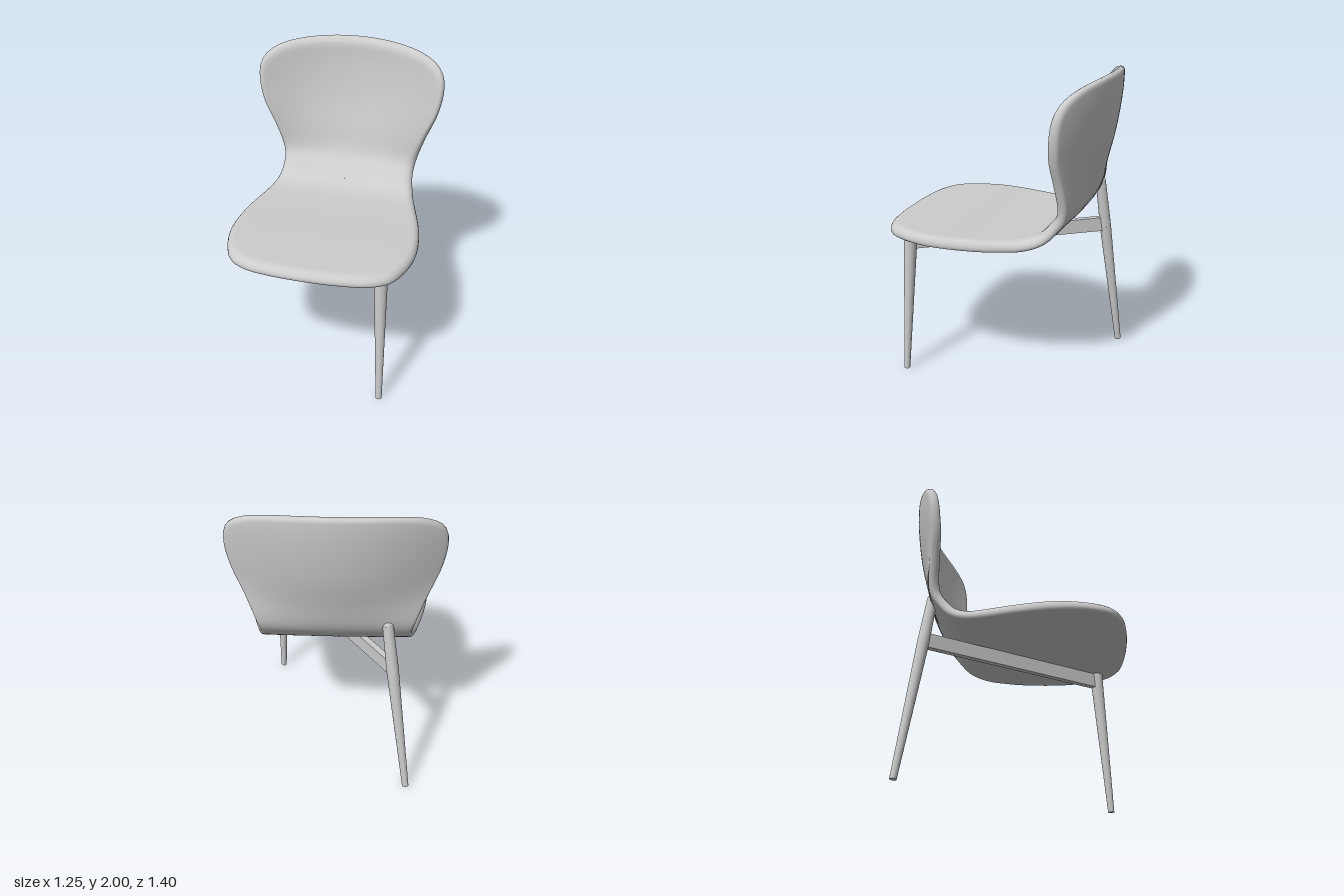
import * as THREE from 'three';

const V3 = (x, y, z) => new THREE.Vector3(x, y, z);

// Centre line of the bent shell, from the seat front to the top of the back
const profile = new THREE.CatmullRomCurve3([
  [0.7, 1], [0.3, 1], [-0.15, 1], [-0.28, 1.012], [-0.38, 1.05], [-0.455, 1.12], [-0.522, 1.2],
  [-0.58, 1.4], [-0.63, 1.6], [-0.664, 1.85], [-0.669, 2],
].map(([z, y]) => V3(0, y, z)));

// Half outline of the unrolled shell: half width, distance along the centre line
const half = [
  [0.2, 0.008], [0.38, 0.038], [0.49, 0.1], [0.55, 0.2], [0.595, 0.36], [0.6, 0.5], [0.575, 0.7],
  [0.525, 0.9], [0.475, 1.08], [0.457, 1.2], [0.466, 1.3], [0.525, 1.5], [0.6, 1.71],
  [0.623, 1.87], [0.607, 1.96], [0.57, 2.01], [0.48, 2.06], [0.32, 2.095],
];

// Places a point of the unrolled shell in space; n is the height above the mid surface
function bend(x, v, n) {
  const t = THREE.MathUtils.clamp(v / profile.getLength(), 0, 1);
  const p = profile.getPointAt(t);
  const d = profile.getTangentAt(t);
  const hollow = 0.44 * THREE.MathUtils.smoothstep(p.y, 0.95, 1.6);
  return [x, p.y - d.z * n, p.z + d.y * n + hollow * x * x];
}

function shellGeometry() {
  const end = profile.getLength();
  const outline = new THREE.CatmullRomCurve3([
    V3(0, 0, 0),
    ...half.map(([x, v]) => V3(x, v, 0)),
    V3(0, end, 0),
    ...half.slice().reverse().map(([x, v]) => V3(-x, v, 0)),
  ], true).getSpacedPoints(144).slice(0, 144);

  // Rings run from the middle of the upper face, round the rim, to the middle underneath
  const rings = [];
  const inner = 22;
  for (let i = 0; i <= inner; i++) rings.push([Math.max(i / inner, 0.002), 0.07, 0.035]);
  rings.push([1, 0.045, 0.033], [1, 0.025, 0.026], [1, 0.01, 0.014], [1, 0.002, 0],
    [1, 0, -0.014], [1, 0.004, -0.026], [1, 0.014, -0.033]);
  for (let i = inner; i >= 0; i--) rings.push([Math.max(i / inner, 0.002), 0.03, -0.035]);

  const mid = 1.1;
  const pos = [];
  const index = [];
  const N = outline.length;
  rings.forEach(([k, inset, n], r) => {
    outline.forEach((o, j) => {
      const s = k * (1 - inset / Math.hypot(o.x, o.y - mid));
      pos.push(...bend(o.x * s, mid + (o.y - mid) * s, n));
      if (r === rings.length - 1) return;
      const a = r * N + j, d = r * N + (j + 1) % N;
      index.push(a, a + N, d + N, a, d + N, d);
    });
  });
  const g = new THREE.BufferGeometry();
  g.setAttribute('position', new THREE.Float32BufferAttribute(pos, 3));
  g.setIndex(index);
  g.computeVertexNormals();
  return g;
}

export function createModel() {
  const model = new THREE.Group();
  model.name = 'chair';
  const grey = new THREE.MeshStandardMaterial({ color: 0xcccccc });
  grey.name = 'light grey';

  const add = (name, geometry, parent = model) => {
    const mesh = new THREE.Mesh(geometry, grey);
    mesh.name = name;
    parent.add(mesh);
    return mesh;
  };

  // Tapered round leg from foot to top
  const leg = (name, foot, top, rFoot, rTop) => {
    const dir = top.clone().sub(foot);
    const mesh = add(name, new THREE.CylinderGeometry(rTop, rFoot, dir.length(), 24));
    mesh.position.copy(foot).lerp(top, 0.5);
    mesh.quaternion.setFromUnitVectors(V3(0, 1, 0), dir.normalize());
  };

  // Seat and back in one piece
  add('seatShell', shellGeometry());

  // One front leg and one back leg, on opposite sides
  leg('frontLeg', V3(0.449, 0.003, 0.563), V3(0.421, 0.98, 0.504), 0.02, 0.043);
  const backTop = V3(-0.307, 1.22, -0.538);
  leg('backLeg', V3(-0.463, 0.003, -0.673), V3(-0.347, 0.9, -0.572), 0.021, 0.038);
  leg('backLegUpper', V3(-0.347, 0.9, -0.572), backTop, 0.038, 0.033);
  add('backLegTip', new THREE.SphereGeometry(0.033, 24, 12)).position.copy(backTop);

  // Diagonal rail under the seat
  const a = V3(0.415, 0.914, 0.5), b = V3(-0.345, 0.914, -0.565);
  const rail = add('diagonalRail', new THREE.BoxGeometry(0.04, 0.095, a.distanceTo(b)));
  rail.position.copy(a).lerp(b, 0.5);
  rail.rotation.y = Math.atan2(a.x - b.x, a.z - b.z);

  return model;
}
